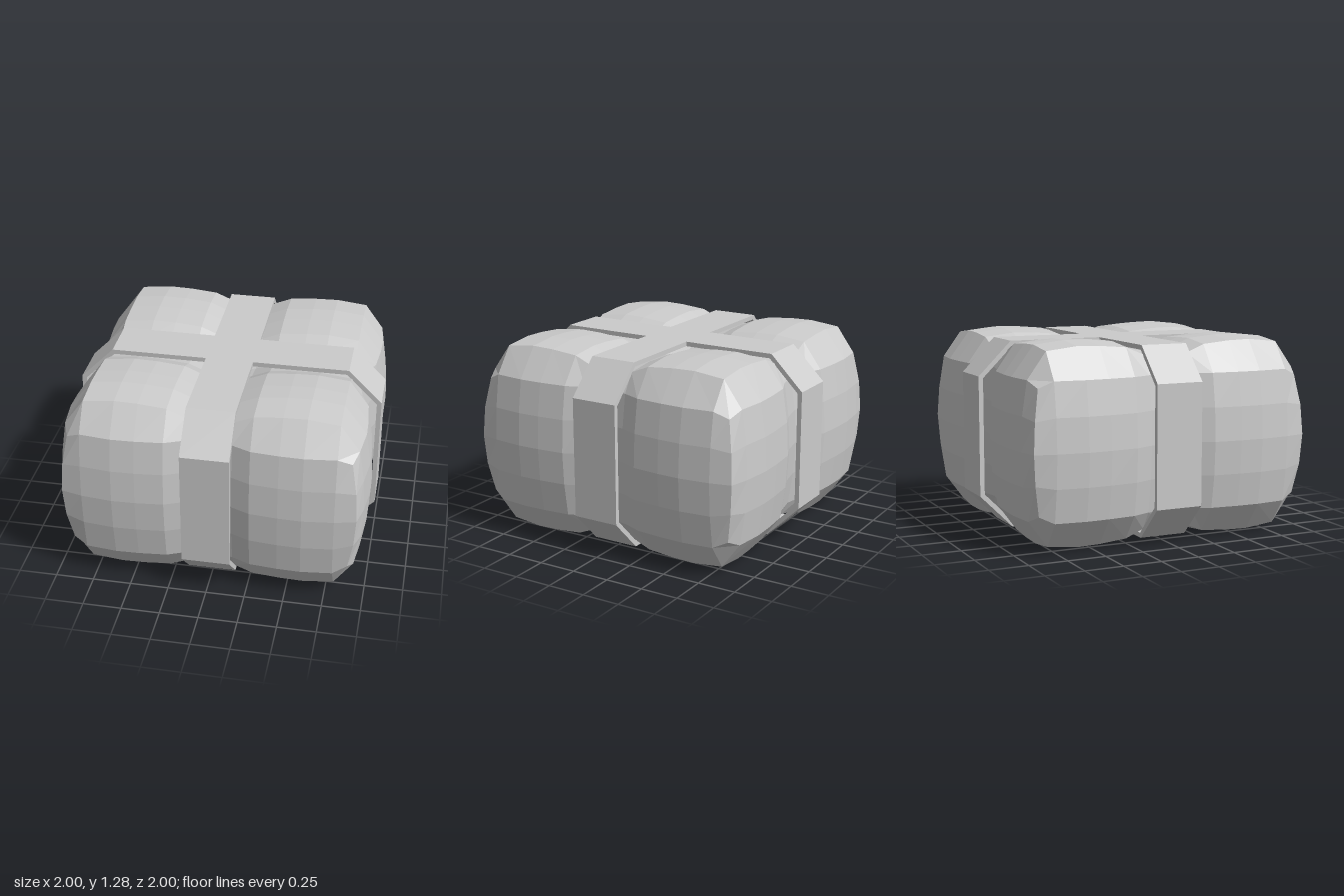
import * as THREE from 'three';

const material = new THREE.MeshStandardMaterial({ color: 0xcccccc, flatShading: true });
const MID = 0.642; // height of the bundle's middle

// Puffy bundle: a gridded box whose surface sinks under the straps and at its rims
function bundleGeometry() {
  const grid = [0, 0.15, 0.27, 0.45, 0.6, 0.8];            // column positions from the middle out
  const sink = [0.1, 0.07, 0.02, 0.004, 0, 0.022, 0.055];  // surface depth at each column
  const rows = [0, 0.215, 0.43];                           // side rows above and below the middle
  const taper = [0, 0.012, 0.045];                         // side inset at each row
  const geo = new THREE.BoxGeometry(12, 4, 12, 12, 4, 12);
  const p = geo.attributes.position;
  for (let n = 0; n < p.count; n++) {
    const [x, y, z] = [p.getX(n), p.getY(n), p.getZ(n)];
    const [i, j, k] = [x, y, z].map((v) => Math.round(Math.abs(v)));
    const across = (a, b) => (a === 6 ? 0.99 - sink[b] - taper[j] : grid[a]);
    let h;
    if (i < 6 && k < 6 && j === 2) h = MID - sink[i] - sink[k];
    else h = rows[j] * (i === 6 && k === 6 ? 0.9 : 1);
    p.setXYZ(n, Math.sign(x) * across(i, k), MID + Math.sign(y) * h, Math.sign(z) * across(k, i));
  }
  geo.computeVertexNormals();
  return geo;
}

// Strap: a thin eight-sided hoop
function strapGeometry(width) {
  const octagon = (inset) => {
    const w = 1 - inset, h = 0.61 - inset, cw = 0.78 - inset * 0.41, ch = 0.39 - inset * 0.41;
    return [[w, -ch], [w, ch], [cw, h], [-cw, h], [-w, ch], [-w, -ch], [-cw, -h], [cw, -h]]
      .map(([x, y]) => new THREE.Vector2(x, y));
  };
  const shape = new THREE.Shape(octagon(0));
  shape.holes.push(new THREE.Path(octagon(0.03)));
  const geo = new THREE.ExtrudeGeometry(shape, { depth: width, bevelEnabled: false });
  return geo.translate(0, 0.64, -width / 2);
}

export function createModel() {
  const model = new THREE.Group();
  model.name = 'strappedBundle';

  const bundle = new THREE.Mesh(bundleGeometry(), material);
  bundle.name = 'bundle';
  model.add(bundle);

  // Two crossing straps
  const hoop = strapGeometry(0.31);
  ['sideToSideStrap', 'frontToBackStrap'].forEach((name, n) => {
    const strap = new THREE.Mesh(hoop, material);
    strap.name = name;
    strap.rotation.y = n * Math.PI / 2;
    model.add(strap);
  });
  return model;
}
